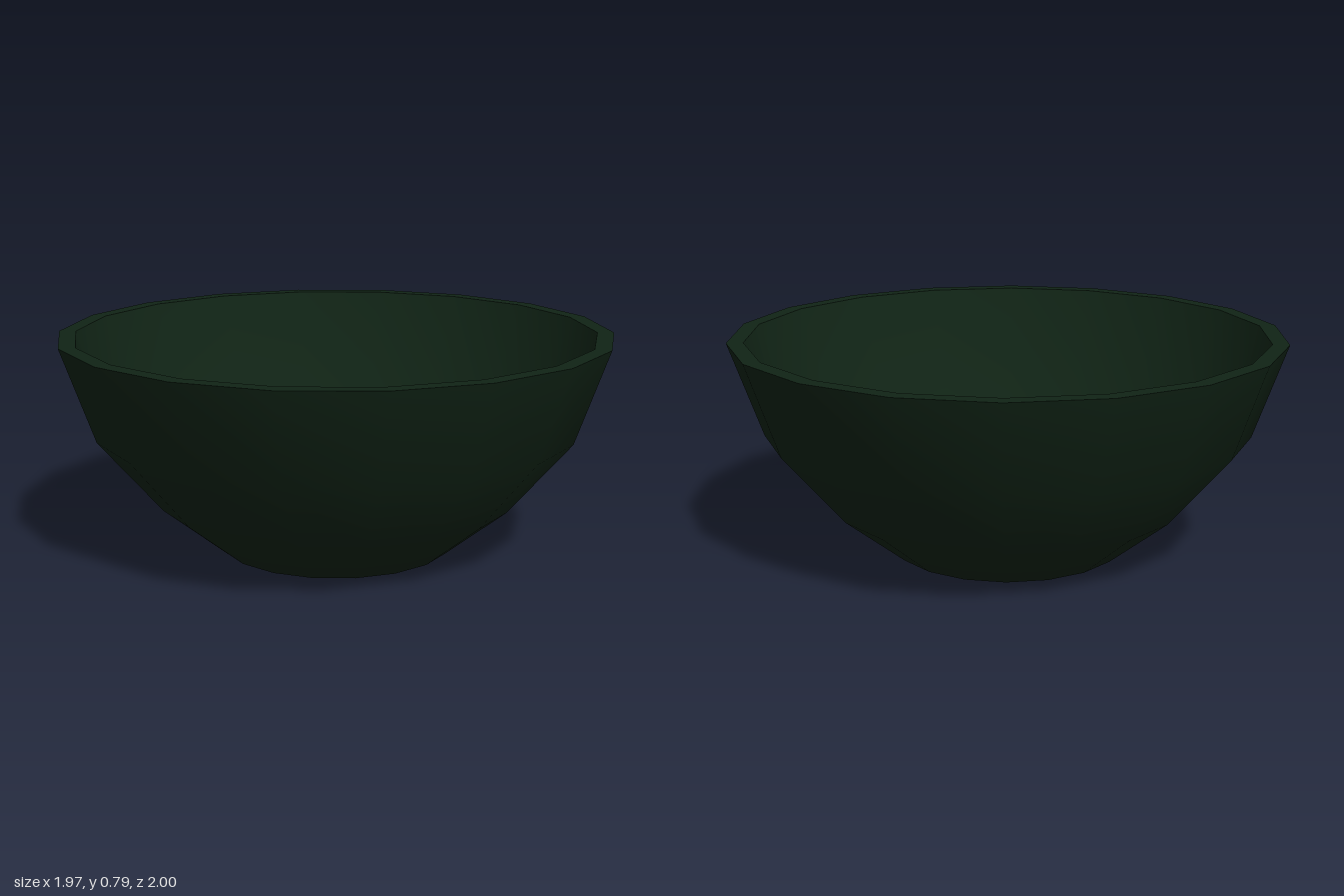
import * as THREE from 'three';

const SIDES = 18;

export function createModel() {
  const bowl = new THREE.Group();
  bowl.name = 'bowl';
  const material = new THREE.MeshStandardMaterial({ color: 0x102315 });

  // Each band is smooth in itself; separate bands keep the edges between them sharp.
  const addBand = (name, profile) => {
    const points = profile.map(([r, y]) => new THREE.Vector2(r, y));
    const mesh = new THREE.Mesh(new THREE.LatheGeometry(points, SIDES), material);
    mesh.name = name;
    bowl.add(mesh);
  };

  // The profile runs from the base centre, up the outside, over the rim and down the inside.
  addBand('base', [[0, 0], [0.425, 0]]);
  addBand('outerWall', [[0.425, 0], [0.65, 0.18], [0.88, 0.45], [1, 0.79]]);
  addBand('rim', [[1, 0.79], [0.94, 0.79]]);
  addBand('innerWall', [[0.94, 0.79], [0.825, 0.48], [0.61, 0.22], [0.4, 0.06], [0, 0.06]]);

  return bowl;
}
